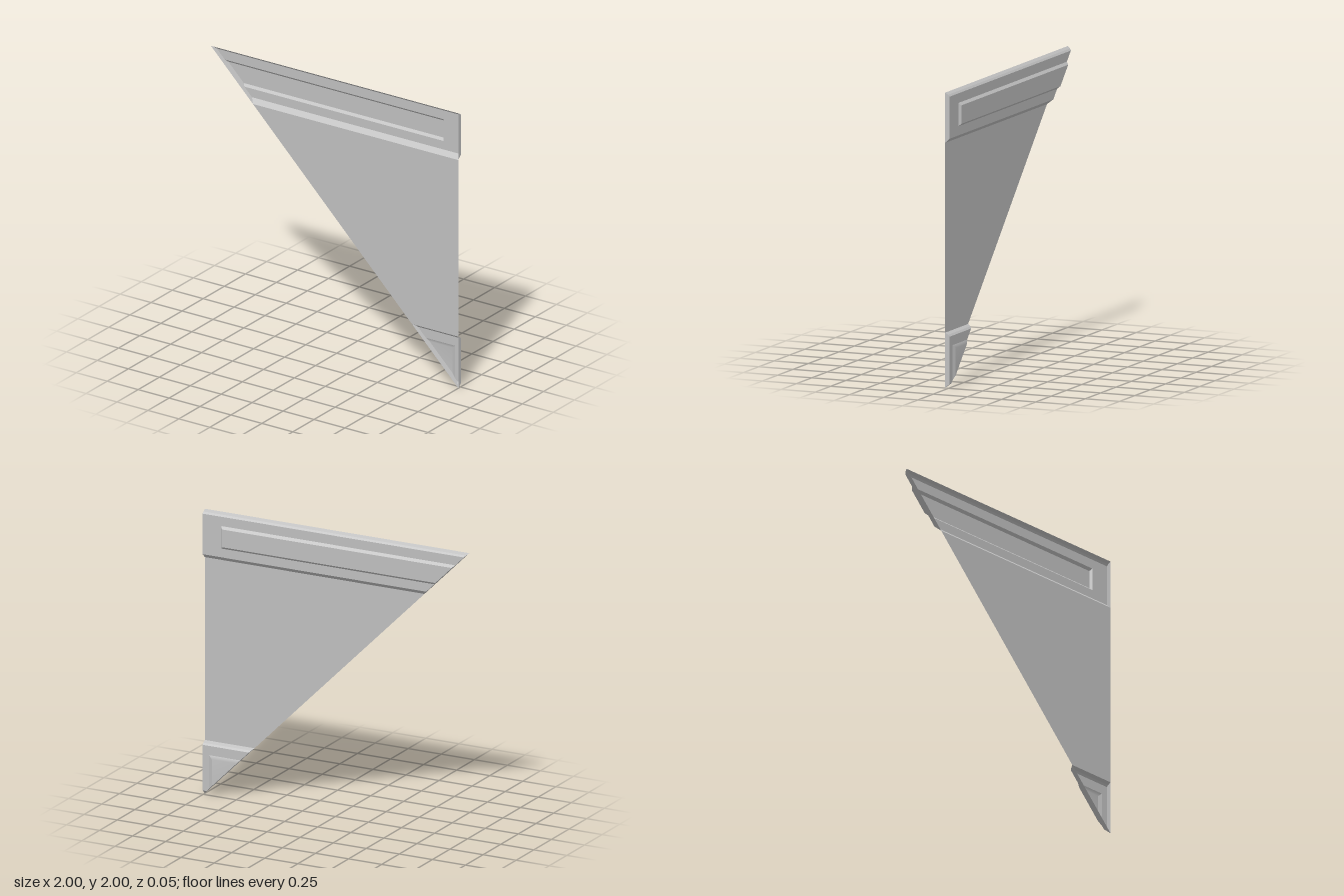
import * as THREE from 'three';

const BACK = 0.025;   // plane of the wall sheet
const FACE = -0.008;  // flat face of the trim bands

const grey = new THREE.MeshStandardMaterial({ color: 0xbfbfbf, side: THREE.DoubleSide });
grey.name = 'panelGrey';

function mesh(name, points, index, smooth = false) {
  let g = new THREE.BufferGeometry();
  g.setAttribute('position', new THREE.Float32BufferAttribute(points.flat(), 3));
  g.setIndex(index);
  if (!smooth) g = g.toNonIndexed();
  g.computeVertexNormals();
  const m = new THREE.Mesh(g, grey);
  m.name = name;
  return m;
}

// Strips between rows [y, z, rightX]; every row starts on the diagonal x = 1 - y
function strips(name, rows, smooth) {
  const pts = [], idx = [];
  rows.forEach(([y, z, x = 1], i) => {
    pts.push([1 - y, y, z], [x, y, z]);
    if (i) {
      const a = 2 * i - 2;
      idx.push(a, a + 1, a + 3, a, a + 3, a + 2);
    }
  });
  return mesh(name, pts, idx, smooth);
}

// End cap: a [y, z] outline set at x given by xOf(y)
function cap(name, outline, xOf) {
  const tris = THREE.ShapeUtils.triangulateShape(outline.map(([y, z]) => new THREE.Vector2(y, z)), []);
  return mesh(name, outline.map(([y, z]) => [xOf(y), y, z]), tris.flat());
}

// Hollow trim band with a raised field, cut by the diagonal
function band(name, top, bottom, f) {
  const group = new THREE.Group();
  group.name = name;
  const upper = [[top, BACK], [top - 0.013, 0.003], [top - 0.025, FACE]];
  const lower = [[bottom + 0.03, FACE], [bottom, BACK]];
  const o = f.outer, n = f.inner, tri = f.triangular;

  // Frame around the field
  group.add(strips('upperFrame', [...upper, [o.top, FACE]]));
  const low = tri ? 1 - o.x : o.bottom;
  group.add(mesh('sideFrame',
    [[o.x, o.top, FACE], [1, o.top, FACE], [1, low, FACE], [o.x, low, FACE]], [0, 1, 2, 0, 2, 3]));
  group.add(strips('lowerFrame', [[low, FACE], ...lower]));

  // Raised field: sloped edges and flat top
  const rows = [[o.top, FACE, o.x], [n.top, f.z, n.x]];
  const nLow = tri ? 1 - n.x : n.bottom;
  rows.push([nLow, f.z, n.x]);
  if (!tri) rows.push([low, FACE, o.x]);
  group.add(strips('raisedField', rows, f.smooth));
  group.add(mesh('fieldEnd',
    [[n.x, n.top, f.z], [o.x, o.top, FACE], [o.x, low, FACE], [n.x, nLow, f.z]], [0, 1, 2, 0, 2, 3], f.smooth));

  // Caps on the straight side and along the diagonal
  group.add(cap('sideCap', [...upper, ...lower], () => 1));
  const bump = [[o.top, FACE], [n.top, f.z], [nLow, f.z], [low, FACE]];
  group.add(cap('diagonalCap', [...upper, ...bump, ...lower], (y) => 1 - y));
  return group;
}

export function createModel() {
  const model = new THREE.Group();
  model.name = 'triangularWallPanel';

  // Thin sheet between the two bands
  model.add(strips('wallSheet', [[1.66, BACK], [0.375, BACK]]));

  model.add(band('topBand', 2, 1.66, {
    outer: { top: 1.91, bottom: 1.752, x: 0.857 },
    inner: { top: 1.893, bottom: 1.768, x: 0.845 },
    z: -0.025,
  }));

  model.add(band('bottomBand', 0.375, 0, {
    outer: { top: 0.285, x: 0.95 },
    inner: { top: 0.262, x: 0.925 },
    z: -0.018, triangular: true, smooth: true,
  }));

  return model;
}
